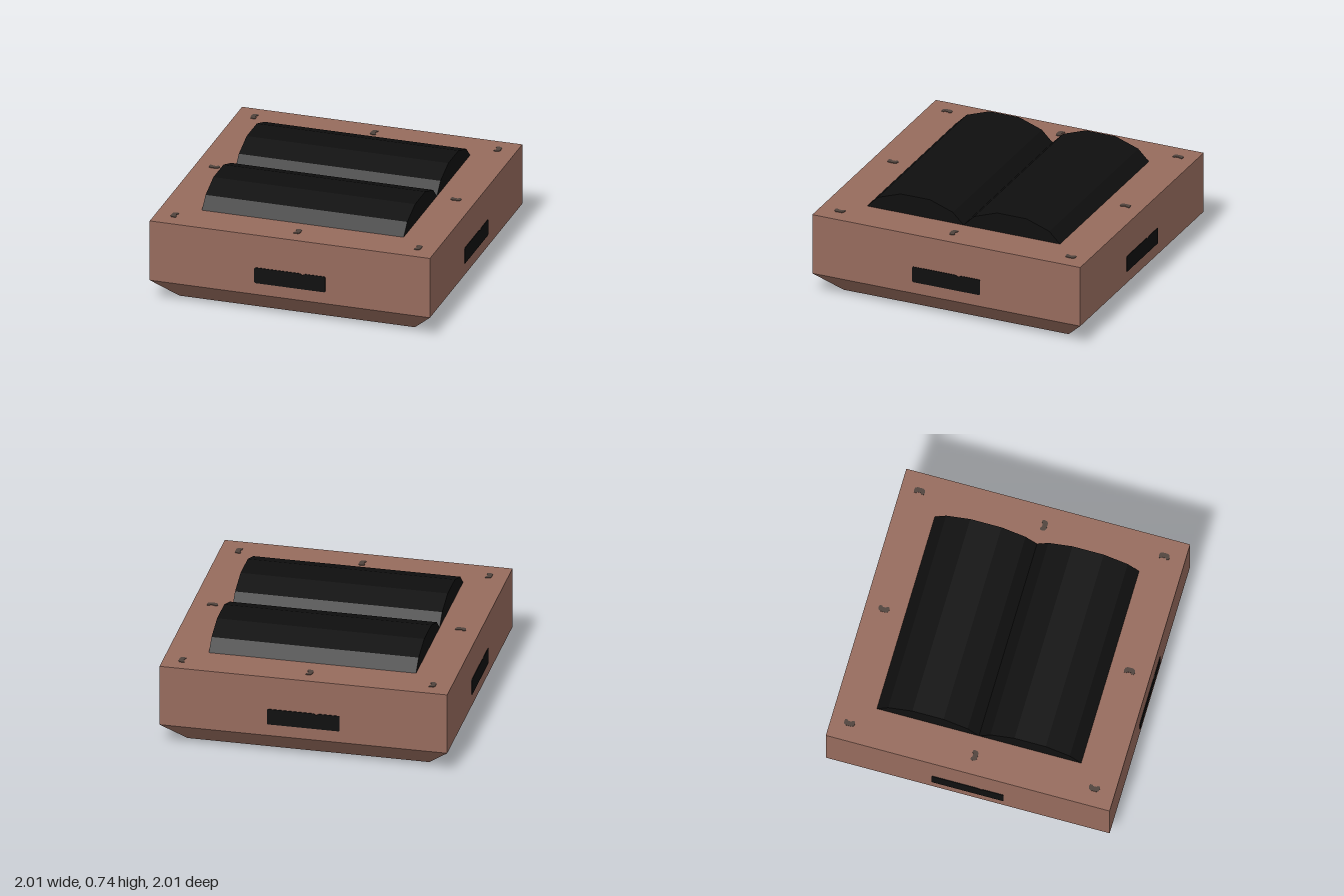
import * as THREE from 'three';

const brown = new THREE.MeshStandardMaterial({ color: 0x966b5d });
brown.name = 'brown';
const black = new THREE.MeshStandardMaterial({ color: 0x0f0f0f });
black.name = 'black';
const darkGrey = new THREE.MeshStandardMaterial({ color: 0x50433c });
darkGrey.name = 'darkGrey';

const PLATE = 0.004;

function add(parent, name, geometry, material) {
  const mesh = new THREE.Mesh(geometry, material);
  mesh.name = name;
  parent.add(mesh);
  return mesh;
}

function shapeOf(points) {
  return new THREE.Shape(points.map(([x, y]) => new THREE.Vector2(x, y)));
}

function extrude(shape, depth) {
  return new THREE.ExtrudeGeometry(shape, { depth, bevelEnabled: false, curveSegments: 6 });
}

// Small bean-shaped mark, lying flat, notched on its +x side
function beanGeometry() {
  const shape = shapeOf([
    [0.02, 0.035], [0.005, 0.038], [-0.014, 0.034], [-0.022, 0.02], [-0.022, -0.02],
    [-0.014, -0.034], [0.005, -0.038], [0.02, -0.033], [0.02, -0.018],
    [0.012, -0.012], [0.012, 0.012], [0.02, 0.018],
  ]);
  return extrude(shape, PLATE).rotateX(-Math.PI / 2);
}

export function createModel() {
  const model = new THREE.Group();
  model.name = 'squareUnit';

  // Square body with a bevelled underside, turned as a four-sided lathe
  const profile = [[0, 0], [0.84, 0], [1, 0.16], [1, 0.6], [0, 0.6]]
    .map(([r, y]) => new THREE.Vector2(r * Math.SQRT2, y));
  const body = new THREE.LatheGeometry(profile, 4, Math.PI / 4).toNonIndexed();
  body.computeVertexNormals();
  add(model, 'body', body, brown);

  // Two faceted humps running side to side
  const hump = shapeOf([
    [-0.36, 0], [0.36, 0], [0.28, 0.08], [0.11, 0.14], [-0.11, 0.14], [-0.28, 0.08],
  ]);
  for (const side of [1, -1]) {
    const geometry = extrude(hump, 1.44).translate(0, 0, -0.72).rotateY(Math.PI / 2);
    add(model, side > 0 ? 'frontHump' : 'backHump', geometry, black)
      .position.set(0, 0.6, side * 0.36);
  }

  // Slot plate with a small nick in its top edge, one on each side
  const slot = shapeOf([
    [-0.247, 0.245], [0.247, 0.245], [0.253, 0.252], [0.253, 0.353], [0.247, 0.36],
    [0.11, 0.36], [0.09, 0.35], [0.07, 0.36], [-0.247, 0.36], [-0.253, 0.353], [-0.253, 0.252],
  ]);
  ['frontSlot', 'leftSlot', 'backSlot', 'rightSlot'].forEach((name, i) => {
    const geometry = extrude(slot, PLATE).translate(0, 0, 1);
    add(model, name, geometry, black).rotation.y = i * Math.PI / 2;
  });

  // Marks around the top rim: x, z, turn
  const marks = [
    [-0.87, -0.87, 0], [-0.015, -0.87, 0], [0.87, -0.87, Math.PI],
    [-0.865, 0.01, Math.PI / 2], [0.86, 0.01, Math.PI / 2],
    [-0.87, 0.855, 0], [0.01, 0.855, Math.PI], [0.87, 0.855, Math.PI],
  ];
  for (const [x, z, turn] of marks) {
    const mark = add(model, 'rimMark', beanGeometry(), darkGrey);
    mark.position.set(x, 0.6, z);
    mark.rotation.y = turn;
  }

  // Underside panel and small studs
  add(model, 'bottomPanel', new THREE.BoxGeometry(1.08, PLATE, 1.08), darkGrey);
  const studs = [
    [0.72, -0.7], [-0.34, -0.71], [0.72, 0.7], [-0.34, 0.7], [-0.72, 0.7], [-0.68, 0.35],
  ];
  for (const [x, z] of studs) {
    add(model, 'bottomStud', new THREE.CylinderGeometry(0.015, 0.015, PLATE, 8), darkGrey)
      .position.set(x, 0, z);
  }

  return model;
}
